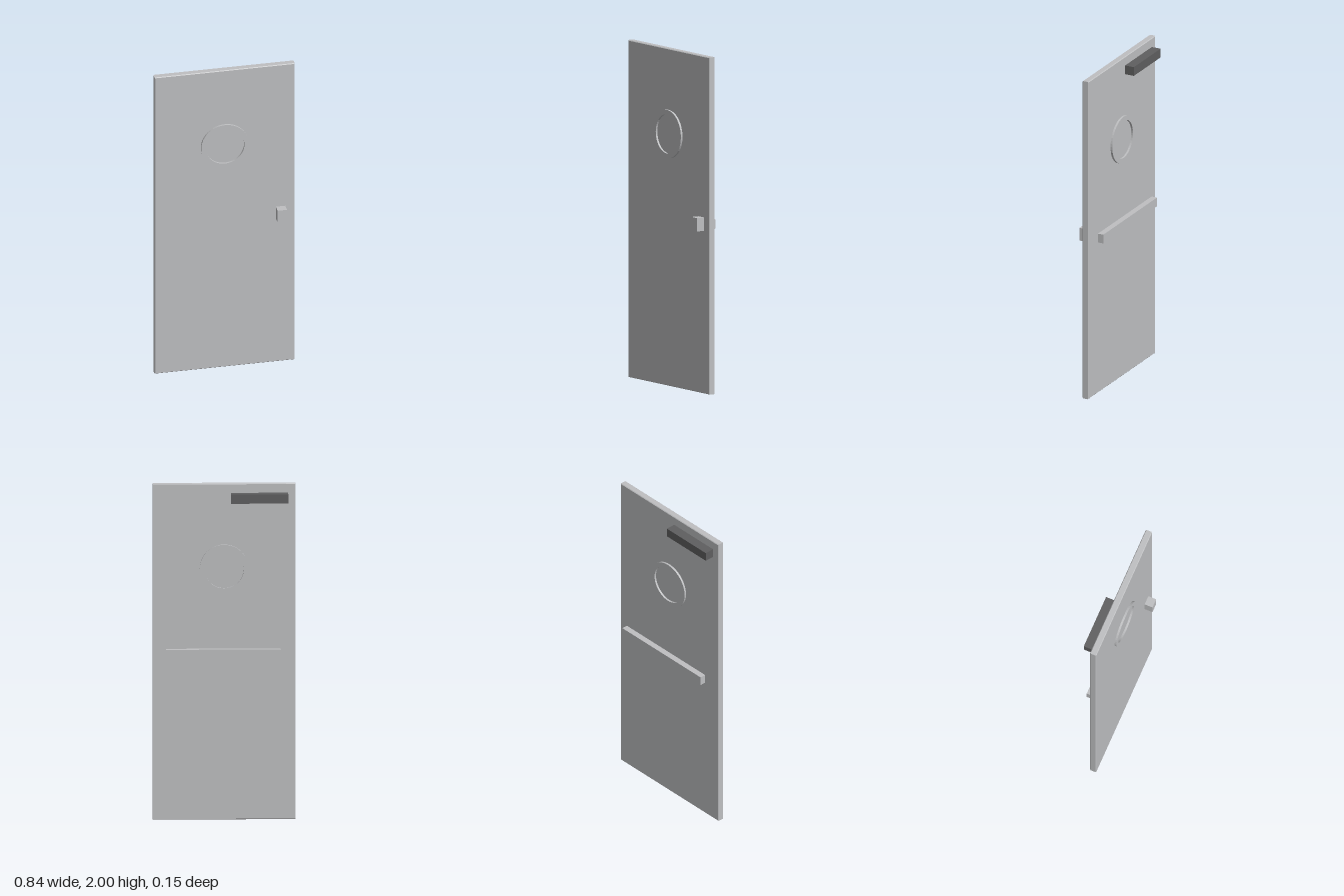
import * as THREE from 'three';

const metal = new THREE.MeshStandardMaterial({ name: 'light grey metal', color: 0xbfc0c2 });
const dark = new THREE.MeshStandardMaterial({ name: 'dark grey metal', color: 0x5f5f60 });

// Box given by its limits on each axis
function box(name, material, [x0, x1], [y0, y1], [z0, z1]) {
  const mesh = new THREE.Mesh(new THREE.BoxGeometry(x1 - x0, y1 - y0, z1 - z0), material);
  mesh.position.set((x0 + x1) / 2, (y0 + y1) / 2, (z0 + z1) / 2);
  mesh.name = name;
  return mesh;
}

// Door leaf with narrow chamfers on every edge
function doorLeaf(width, height, zBack, zFront, chamfer) {
  const w = width / 2 - chamfer;
  const shape = new THREE.Shape();
  shape.moveTo(-w, chamfer);
  shape.lineTo(w, chamfer);
  shape.lineTo(w, height - chamfer);
  shape.lineTo(-w, height - chamfer);
  shape.closePath();
  const geometry = new THREE.ExtrudeGeometry(shape, {
    depth: zFront - zBack - 2 * chamfer,
    bevelEnabled: true, bevelSize: chamfer, bevelThickness: chamfer, bevelSegments: 1,
  });
  geometry.translate(0, 0, zBack + chamfer);
  const mesh = new THREE.Mesh(geometry, metal);
  mesh.name = 'doorLeaf';
  return mesh;
}

// Flat round trim, standing proud of one face of the leaf
function trimRing(name, zBack, zFront) {
  const shape = new THREE.Shape();
  shape.absarc(0, 0, 0.143, 0, Math.PI * 2, false);
  const hole = new THREE.Path();
  hole.absarc(0, 0, 0.116, 0, Math.PI * 2, true);
  shape.holes.push(hole);
  const geometry = new THREE.ExtrudeGeometry(shape, {
    depth: zFront - zBack, bevelEnabled: false, curveSegments: 24,
  });
  const mesh = new THREE.Mesh(geometry, metal);
  mesh.position.set(0, 1.495, zBack);
  mesh.name = name;
  return mesh;
}

export function createModel() {
  const door = new THREE.Group();
  door.name = 'door';
  const back = -0.017, front = 0.023;

  door.add(
    doorLeaf(0.84, 2, back, front, 0.004),
    // Porthole trim on both faces
    trimRing('frontPortholeRing', front, 0.035),
    trimRing('backPortholeRing', -0.029, back),
    // Hardware
    box('knob', metal, [0.307, 0.363], [0.965, 1.045], [front, 0.073]),
    box('pushBar', metal, [-0.331, 0.343], [0.967, 1.022], [-0.075, -0.039]),
    box('doorCloser', dark, [-0.375, -0.04], [1.89, 1.945], [-0.075, back]),
  );
  return door;
}
